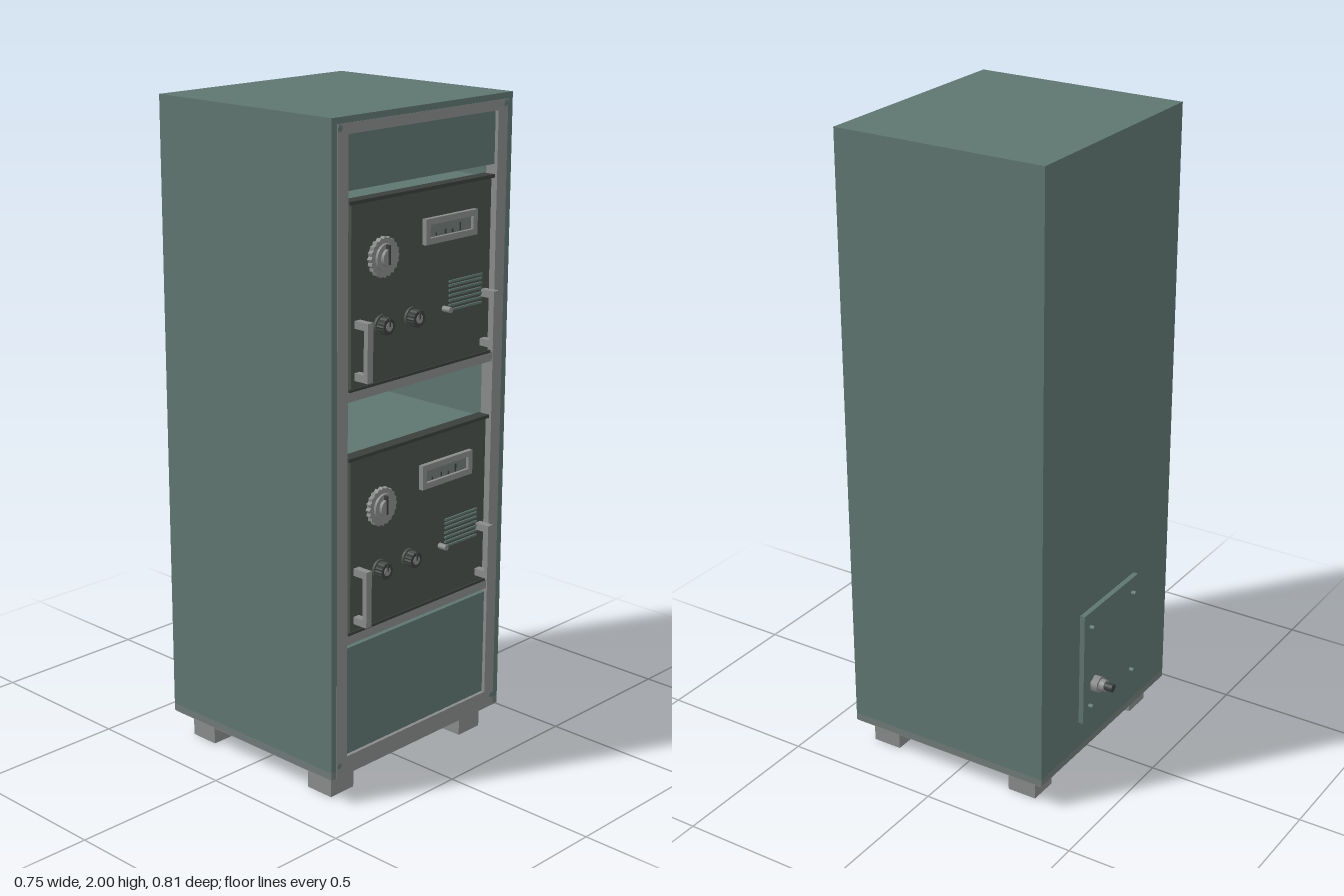
import * as THREE from 'three';

const mat = (name, color) => {
  const m = new THREE.MeshStandardMaterial({ color });
  m.name = name;
  return m;
};

export function createModel() {
  const green = mat('cabinetGreen', 0x5e7570);
  const grey = mat('metalGrey', 0x888b8a);
  const dark = mat('panelDark', 0x4a504a);
  const black = mat('knobBlack', 0x3a3f3c);
  const baseGrey = mat('baseGrey', 0x6f7a77);
  const root = new THREE.Group();

  const add = (parent, name, geo, material, x = 0, y = 0, z = 0) => {
    const m = new THREE.Mesh(geo, material);
    m.name = name;
    m.position.set(x, y, z);
    parent.add(m);
    return m;
  };
  // Box given by its limits on each axis
  const box = (parent, name, material, x0, x1, y0, y1, z0, z1) =>
    add(parent, name, new THREE.BoxGeometry(x1 - x0, y1 - y0, z1 - z0), material,
      (x0 + x1) / 2, (y0 + y1) / 2, (z0 + z1) / 2);
  // Cylinder lying along z
  const disc = (parent, name, material, x, y, z0, z1, r, sides = 24) => {
    const g = new THREE.CylinderGeometry(r, r, z1 - z0, sides).rotateX(Math.PI / 2);
    return add(parent, name, g, material, x, y, (z0 + z1) / 2);
  };
  // Knurled disc with small teeth
  const knurled = (parent, name, material, x, y, z0, z1, r, teeth) => {
    const pts = [];
    for (let i = 0; i < teeth * 2; i++) {
      const a = (i * Math.PI) / teeth, q = i % 2 ? r * 0.91 : r;
      pts.push(new THREE.Vector2(Math.cos(a) * q, Math.sin(a) * q));
    }
    const g = new THREE.ExtrudeGeometry(new THREE.Shape(pts), { depth: z1 - z0, bevelEnabled: false });
    return add(parent, name, g, material, x, y, z0);
  };
  // Rectangular ring facing z
  const ring = (parent, name, material, outer, inner, z0, z1) => {
    const path = (P, [x0, x1, y0, y1]) => {
      const p = new P();
      p.moveTo(x0, y0); p.lineTo(x1, y0); p.lineTo(x1, y1); p.lineTo(x0, y1); p.closePath();
      return p;
    };
    const s = path(THREE.Shape, outer);
    s.holes.push(path(THREE.Path, inner));
    return add(parent, name, new THREE.ExtrudeGeometry(s, { depth: z1 - z0, bevelEnabled: false }), material, 0, 0, z0);
  };

  // Cabinet shell, open at the front
  const shell = new THREE.Group();
  shell.name = 'cabinet';
  root.add(shell);
  for (const s of [-1, 1]) {
    add(shell, 'sideWall', new THREE.BoxGeometry(0.022, 1.895, 0.685), green, s * 0.362, 1.0525, 0.0175);
  }
  box(shell, 'roof', green, -0.351, 0.351, 1.98, 2, -0.325, 0.36);
  box(shell, 'backWall', green, -0.351, 0.351, 0.105, 1.98, -0.325, -0.305);
  box(shell, 'baseRim', baseGrey, -0.373, 0.373, 0.082, 0.105, -0.325, 0.36);
  box(shell, 'underside', grey, -0.37, 0.37, 0.078, 0.082, -0.322, 0.357);

  // Feet
  for (const x of [-0.287, 0.287]) for (const z of [0.272, -0.232]) {
    add(root, 'foot', new THREE.BoxGeometry(0.095, 0.08, 0.095), grey, x, 0.04, z);
  }

  // Front frame with corner screws
  ring(root, 'frontFrame', grey, [-0.352, 0.352, 0.082, 1.982], [-0.31, 0.31, 0.138, 1.952], 0.32, 0.361);
  for (const x of [-0.342, 0.342]) for (const y of [0.118, 1.97]) {
    disc(root, 'frameScrew', green, x, y, 0.358, 0.362, 0.009, 12);
  }

  // Blank panels above and below the instruments
  box(root, 'upperBlankPanel', green, -0.31, 0.31, 1.797, 1.952, 0.33, 0.35);
  box(root, 'lowerBlankPanel', green, -0.31, 0.31, 0.138, 0.472, 0.33, 0.35);

  // One instrument, measured from its bottom edge
  const instrument = (y) => {
    const u = new THREE.Group();
    u.name = 'instrument';
    u.position.y = y;
    root.add(u);
    const f = 0.355;
    box(u, 'shelfRail', grey, -0.31, 0.31, -0.027, 0, 0.3, 0.358);
    box(u, 'housing', green, -0.295, 0.295, 0, 0.525, -0.304, 0.335);
    box(u, 'facePanel', dark, -0.292, 0.292, 0.004, 0.522, 0.335, f);
    box(u, 'topLip', black, -0.302, 0.302, 0.522, 0.532, 0.32, 0.359);
    box(u, 'bottomLip', black, -0.302, 0.302, 0, 0.008, 0.335, 0.359);

    // Large dial with pointer
    knurled(u, 'dialSkirt', grey, -0.172, 0.363, f, 0.37, 0.058, 20);
    disc(u, 'dialBody', grey, -0.172, 0.363, 0.37, 0.378, 0.04, 32);
    disc(u, 'dialCap', grey, -0.172, 0.363, 0.378, 0.388, 0.026);
    box(u, 'dialPointer', black, -0.179, -0.173, 0.345, 0.4, 0.37, 0.391);

    // Meter window
    ring(u, 'meterFrame', grey, [-0.004, 0.217, 0.37, 0.444], [0.014, 0.199, 0.388, 0.426], f, 0.37);
    box(u, 'meterScreen', baseGrey, 0.014, 0.199, 0.388, 0.426, f, 0.36);
    [[0.045, 0.008], [0.085, 0.014], [0.115, 0.01], [0.148, 0.024]].forEach(([x, h]) =>
      box(u, 'meterMark', black, x, x + 0.005, 0.39, 0.39 + h, 0.36, 0.362));

    // Control knobs
    for (const x of [-0.172, -0.047]) {
      disc(u, 'knobCollar', dark, x, 0.17, f, 0.362, 0.03);
      knurled(u, 'knob', black, x, 0.17, 0.362, 0.387, 0.025, 16);
      disc(u, 'knobCap', grey, x, 0.17, 0.387, 0.389, 0.013);
      box(u, 'knobMark', black, x - 0.002, x + 0.002, 0.17, 0.192, 0.387, 0.391);
    }

    // Toggle and louvred vent
    disc(u, 'toggle', grey, 0.092, 0.17, f, 0.383, 0.009, 12);
    [0.162, 0.176, 0.19, 0.205, 0.22, 0.234, 0.246].forEach((h) =>
      box(u, 'ventSlat', green, 0.112, 0.256, h - 0.003, h + 0.003, f, 0.36));

    // Pull handles
    for (const x of [-0.267, 0.267]) {
      const h = new THREE.Group();
      h.name = 'handle';
      u.add(h);
      box(h, 'handleBar', grey, x - 0.011, x + 0.011, 0.03, 0.2, 0.39, 0.405);
      box(h, 'handleLowerPost', grey, x - 0.011, x + 0.011, 0.03, 0.052, f, 0.39);
      box(h, 'handleUpperPost', grey, x - 0.011, x + 0.011, 0.178, 0.2, f, 0.39);
    }
  };
  instrument(1.237);
  instrument(0.513);

  // Rear access plate with screws and a cable connector
  box(root, 'rearPlate', green, -0.16, 0.16, 0.192, 0.565, -0.341, -0.325);
  for (const x of [-0.125, 0.125]) for (const y of [0.24, 0.515]) {
    disc(root, 'rearScrew', green, x, y, -0.355, -0.341, 0.007, 12);
  }
  disc(root, 'connectorNut', grey, 0.095, 0.305, -0.363, -0.341, 0.028, 6);
  disc(root, 'connectorBody', grey, 0.092, 0.305, -0.38, -0.363, 0.019);
  disc(root, 'connectorTip', black, 0.092, 0.305, -0.405, -0.38, 0.013, 16);

  return root;
}
